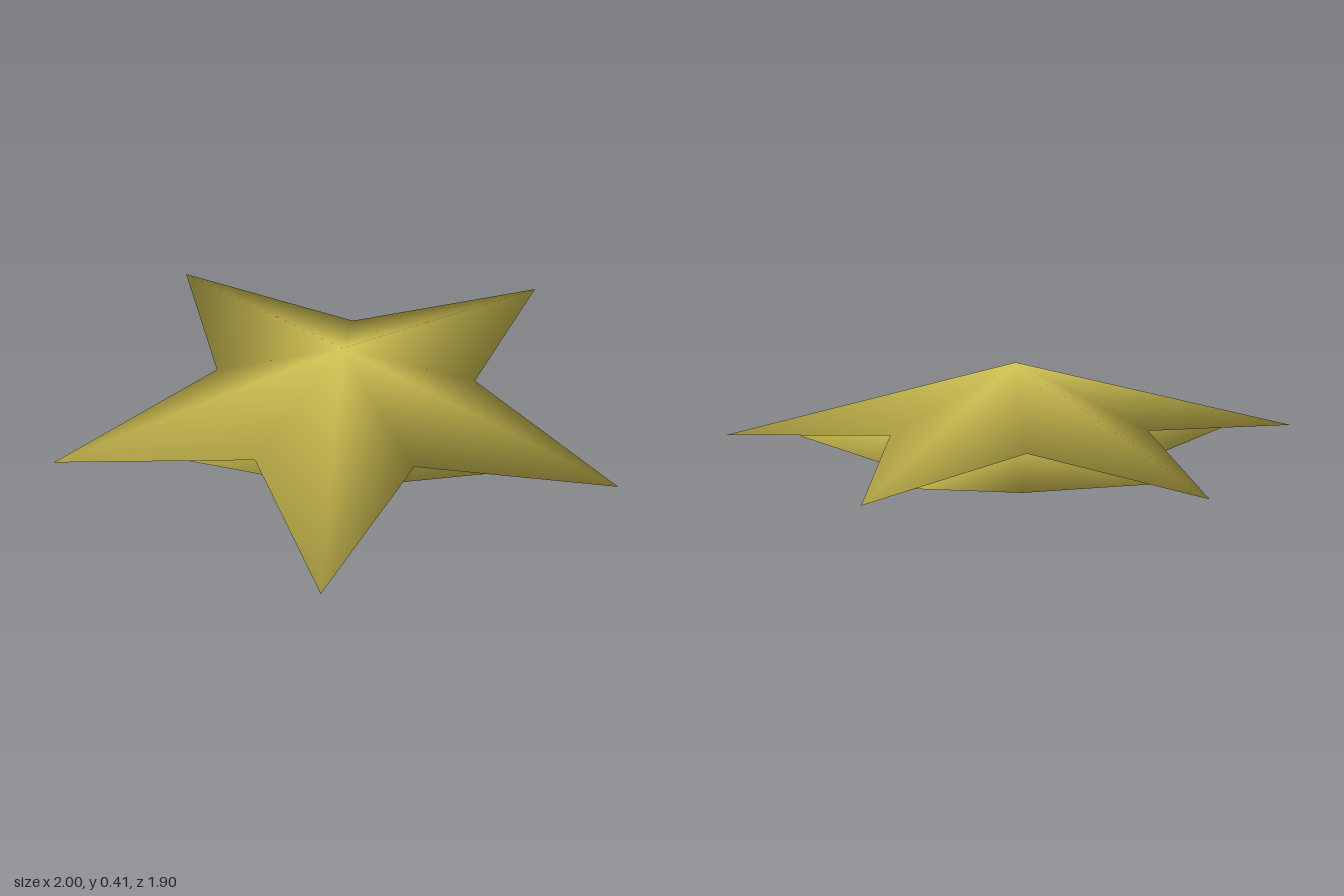
import * as THREE from 'three';

const POINTS = 5;

// Smooth normals, each face weighted by its corner angle
function smoothNormals(geometry) {
  const pos = geometry.attributes.position;
  const index = geometry.index.array;
  const sums = Array.from({ length: pos.count }, () => new THREE.Vector3());
  for (let f = 0; f < index.length; f += 3) {
    const ids = [index[f], index[f + 1], index[f + 2]];
    const v = ids.map((id) => new THREE.Vector3().fromBufferAttribute(pos, id));
    const normal = new THREE.Triangle(...v).getNormal(new THREE.Vector3());
    ids.forEach((id, k) => {
      const a = v[(k + 1) % 3].clone().sub(v[k]);
      const b = v[(k + 2) % 3].clone().sub(v[k]);
      sums[id].addScaledVector(normal, a.angleTo(b));
    });
  }
  const normals = sums.flatMap((n) => n.normalize().toArray());
  geometry.setAttribute('normal', new THREE.Float32BufferAttribute(normals, 3));
}

// Closed star: peaked top, drooping or raised tips, flat middle underneath
function starGeometry({ tipRadius, tipY, notchRadius, notchY, apexY }) {
  const positions = [];
  const indices = [];
  const count = POINTS * 2;
  for (let i = 0; i < count; i++) {
    const angle = (i / count) * Math.PI * 2;
    const isTip = i % 2 === 0;
    const r = isTip ? tipRadius : notchRadius;
    positions.push(r * Math.sin(angle), isTip ? tipY : notchY, -r * Math.cos(angle));
  }
  positions.push(0, apexY, 0);

  // top facets
  for (let i = 0; i < count; i++) indices.push(count, (i + 1) % count, i);
  // undersides of the tips
  for (let i = 0; i < count; i += 2) indices.push((i + count - 1) % count, i, i + 1);
  // flat pentagon
  for (let i = 3; i < count - 1; i += 2) indices.push(1, i, i + 2);

  const geometry = new THREE.BufferGeometry();
  geometry.setAttribute('position', new THREE.Float32BufferAttribute(positions, 3));
  geometry.setIndex(indices);
  smoothNormals(geometry);
  return geometry;
}

export function createModel() {
  const group = new THREE.Group();
  group.name = 'doubleStar';
  const gold = new THREE.MeshStandardMaterial({ color: 0xdaca55 });
  gold.name = 'gold';

  const stars = {
    upperStar: { tipRadius: 1.05, tipY: 0.088, notchRadius: 0.48, notchY: 0.182, apexY: 0.405 },
    lowerStar: { tipRadius: 0.787, tipY: 0.1, notchRadius: 0.3, notchY: 0, apexY: 0.146 },
  };
  for (const [name, size] of Object.entries(stars)) {
    const mesh = new THREE.Mesh(starGeometry(size), gold);
    mesh.name = name;
    mesh.position.z = 0.1;
    group.add(mesh);
  }
  return group;
}
